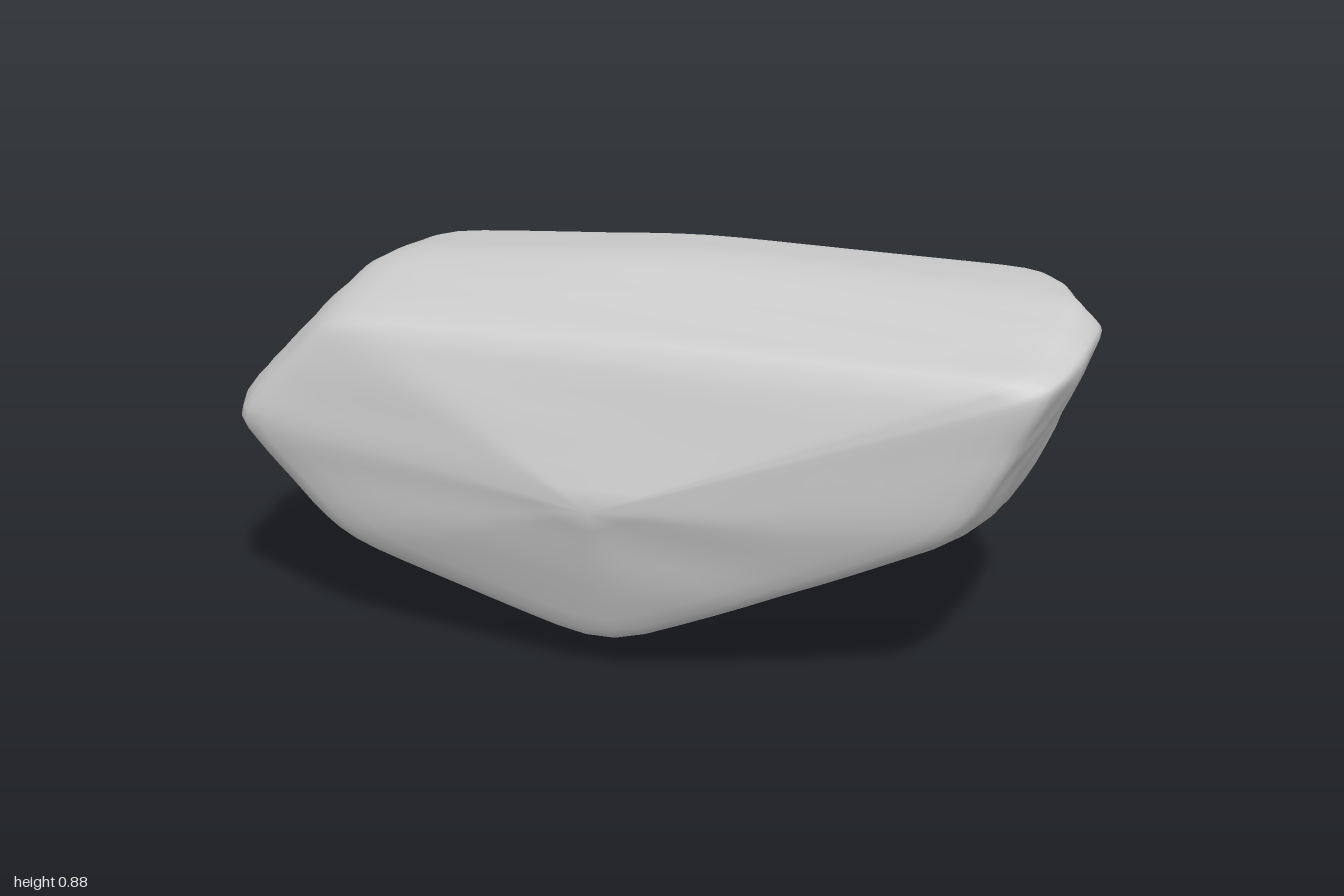
import * as THREE from 'three';
import { mergeVertices } from 'three/addons/utils/BufferGeometryUtils.js';

// Outlines from front to back. Corners as x, y pairs, in order:
// left tip, upper left, top, upper right, right tip, lower right, bottom, lower left
const FRONT_TIP = { z: 0.53, at: [0, 0.455] };
const BACK_TIP = { z: -0.535, at: [0, 0.455] };
const SECTIONS = [
  { z: 0.42, at: [-.91, .52, -.66, .785, 0, .805, .88, .81, .95, .78, .78, .45, 0, .085, -.64, .26] },
  { z: 0.3, at: [-.98, .52, -.69, .81, 0, .835, .91, .835, .99, .8, .8, .42, 0, .055, -.67, .22] },
  { z: 0.03, at: [-1.01, .52, -.71, .85, 0, .905, .94, .89, 1.01, .82, .82, .385, 0, -.01, -.69, .16] },
  { z: -0.27, at: [-.97, .52, -.7, .82, 0, .875, .8, .87, .86, .8, .78, .41, 0, .05, -.67, .2] },
  { z: -0.37, at: [-.84, .5, -.6, .69, 0, .735, .66, .73, .78, .66, .74, .46, 0, .08, -.6, .25] },
];
const EDGE_STEPS = 10; // points along each outline edge
const ROW_STEPS = 7; // rows between two sections

// Cuts an outline into a ring of evenly spread points
function ring({ z, at }) {
  const count = at.length / 2;
  const corner = (i) => new THREE.Vector3(at[(i % count) * 2], at[(i % count) * 2 + 1], z);
  const points = [];
  for (let i = 0; i < 8; i++) {
    for (let k = 0; k < EDGE_STEPS; k++) {
      points.push(corner(i).lerp(corner(i + 1), k / EDGE_STEPS));
    }
  }
  return points;
}

// Fills in rows between neighbouring rings
function loft(rings) {
  const rows = [rings[0]];
  for (let s = 1; s < rings.length; s++) {
    for (let k = 1; k <= ROW_STEPS; k++) {
      rows.push(rings[s].map((p, j) => rings[s - 1][j].clone().lerp(p, k / ROW_STEPS)));
    }
  }
  return rows;
}

// Wears the edges by drawing each point towards its neighbours
function wear(rows) {
  return rows.map((row, i) => row.map((p, j) => {
    if (i === 0 || i === rows.length - 1) return p;
    const n = row.length;
    const mean = new THREE.Vector3()
      .add(row[(j + 1) % n]).add(row[(j + n - 1) % n])
      .add(rows[i - 1][j]).add(rows[i + 1][j]).multiplyScalar(0.25);
    return p.clone().lerp(mean, 0.5);
  }));
}

// Faint grain along the length, a little rougher at the ends
function grain(p) {
  const streaks = Math.sin(p.y * 23 + p.z * 17 + Math.sin(p.x * 4) * 1.2)
    + 0.6 * Math.sin(p.y * 41 - p.z * 37 + p.x * 5);
  const chips = Math.sin(p.z * 29 + Math.sin(p.y * 19) * 1.5 + p.x * 7) * Math.sin(p.y * 25 + p.z * 8);
  const end = THREE.MathUtils.smoothstep(Math.abs(p.x), 0.65, 0.95);
  return 0.0015 * streaks + 0.005 * end * chips;
}

export function createModel() {
  let rows = loft([FRONT_TIP, ...SECTIONS, BACK_TIP].map(ring));
  for (let pass = 0; pass < 6; pass++) rows = wear(rows);

  const core = new THREE.Vector3(0, 0.45, 0);
  const positions = [];
  const index = [];
  const n = rows[0].length;
  rows.forEach((row, i) => row.forEach((p, j) => {
    const out = p.clone().sub(core).normalize();
    positions.push(...p.clone().addScaledVector(out, grain(p)).toArray());
    if (i === rows.length - 1) return;
    const a = i * n + j, b = i * n + (j + 1) % n;
    if (i > 0) index.push(a, b, a + n);
    if (i < rows.length - 2) index.push(b, b + n, a + n);
  }));
  // The tip rows are single points, so close them with one triangle per step
  let geometry = new THREE.BufferGeometry();
  geometry.setAttribute('position', new THREE.Float32BufferAttribute(positions, 3));
  geometry.setIndex(index);
  geometry = mergeVertices(geometry, 1e-5);
  geometry.computeBoundingBox();
  geometry.translate(0, -geometry.boundingBox.min.y, 0);
  geometry.computeVertexNormals();

  const rock = new THREE.Mesh(geometry, new THREE.MeshStandardMaterial({ color: 0xcccccc, roughness: 0.9 }));
  rock.name = 'rock';
  const group = new THREE.Group();
  group.name = 'boulder';
  group.add(rock);
  return group;
}
